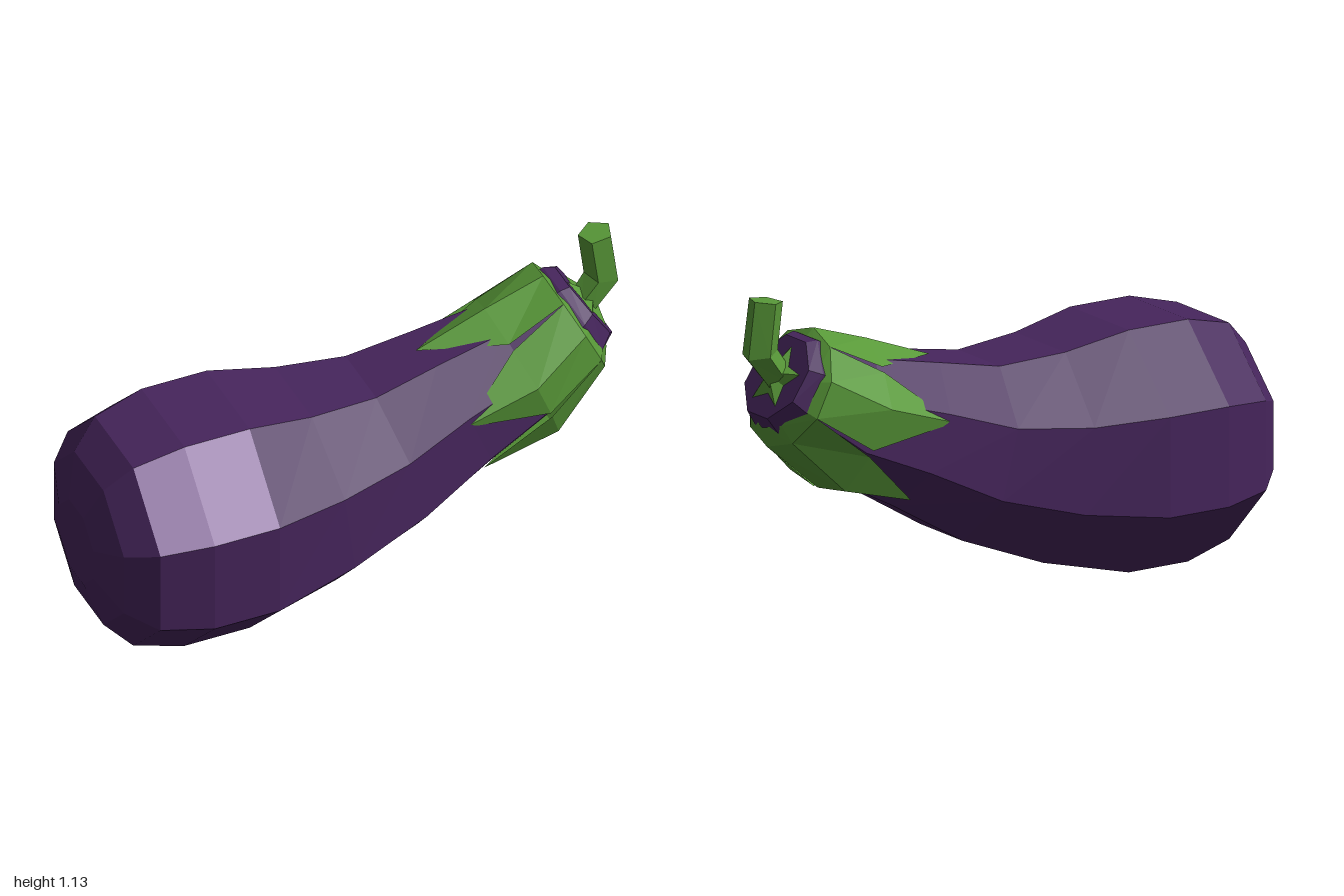
import * as THREE from 'three';

const rad = THREE.MathUtils.degToRad;

// Point on a tilted ring; angle 0 faces +z, 90 faces the upper side.
function ringPoint([x, y, r, tilt], angle, scale = 1) {
  const t = rad(tilt), a = rad(angle), u = r * scale * Math.sin(a);
  return new THREE.Vector3(x - Math.sin(t) * u, y + Math.cos(t) * u, r * scale * Math.cos(a));
}

const ringRow = (ring, sides, start) =>
  Array.from({ length: sides + 1 }, (_, i) => ringPoint(ring, start + (360 / sides) * (i % sides)));

// Skin rows of points, with faceted normals; pick(row, column) selects a material slot.
function skin(rows, caps = false, pick = () => 0) {
  const slots = [[], []];
  const tri = (slot, a, b, c) => {
    const area = b.clone().sub(a).cross(c.clone().sub(a)).length();
    if (area > 1e-7) slots[slot].push(...[a, b, c].flatMap(p => p.toArray()));
  };
  for (let i = 0; i < rows.length - 1; i++) {
    for (let j = 0; j < rows[i].length - 1; j++) {
      const a = rows[i][j], b = rows[i + 1][j], c = rows[i + 1][j + 1], d = rows[i][j + 1];
      tri(pick(i, j), a, b, c);
      tri(pick(i, j), a, c, d);
    }
  }
  if (caps) {
    const first = rows[0], last = rows[rows.length - 1];
    for (let j = 1; j < first.length - 2; j++) {
      tri(0, first[0], first[j], first[j + 1]);
      tri(0, last[0], last[j + 1], last[j]);
    }
  }
  const geo = new THREE.BufferGeometry();
  geo.setAttribute('position', new THREE.Float32BufferAttribute(slots.flat(), 3));
  geo.addGroup(0, slots[0].length / 3, 0);
  if (slots[1].length) geo.addGroup(slots[0].length / 3, slots[1].length / 3, 1);
  geo.computeVertexNormals();
  return geo;
}

export function createModel() {
  const model = new THREE.Group();
  const purple = new THREE.MeshStandardMaterial({ name: 'purple skin', color: 0x46255c, flatShading: true });
  const shine = new THREE.MeshStandardMaterial({ name: 'pale highlight', color: 0x977cab, flatShading: true });
  const green = new THREE.MeshStandardMaterial({
    name: 'leaf green', color: 0x589838, flatShading: true, side: THREE.DoubleSide });

  const add = (name, geo, materials, parent = model) => {
    const mesh = new THREE.Mesh(geo, materials);
    mesh.name = name;
    parent.add(mesh);
  };

  // Octagonal body: centre x, centre y, half height, tilt
  const corner = 1 / Math.cos(Math.PI / 8);
  const bodyRings = [
    [-1, 0.4225, 0.14, 0], [-0.953, 0.4225, 0.285, 0], [-0.86, 0.4225, 0.377, 0],
    [-0.68, 0.4225, 0.4225, 0], [-0.44, 0.4225, 0.4225, 0], [-0.155, 0.44, 0.363, 7],
    [0.125, 0.4925, 0.302, 14.5], [0.375, 0.595, 0.253, 22], [0.615, 0.68, 0.215, 23],
    [0.83, 0.822, 0.171, 27], [0.87, 0.85, 0.144, 33],
  ].map(([x, y, h, t]) => ringRow([x, y, h * corner, t], 8, 22.5));
  // One facet strip on the upper front is the highlight
  add('body', skin(bodyRings, true, (i, j) => (j === 0 && (i === 2 || i === 3) ? 1 : 0)), [purple, shine]);

  // Calyx: five folded leaves around the neck
  const calyx = new THREE.Group();
  calyx.name = 'calyx';
  model.add(calyx);
  const tip = [0.35, 0.585, 0.266, 22], wide = [0.615, 0.67, 0.28, 23];
  const shoulder = [0.815, 0.805, 0.215, 26], collar = [0.85, 0.815, 0.155, 30];
  for (let k = 0; k < 5; k++) {
    const mid = 90 + 72 * k;
    const row = (ring, spread, edge) =>
      [-1, 0, 1].map(s => ringPoint(ring, mid + s * spread, s ? edge : 1));
    add('leaf', skin([row(tip, 0, 1), row(wide, 33, 0.89), row(shoulder, 36, 1), row(collar, 36, 1)]),
      green, calyx);
  }

  // Star-shaped foot of the stem
  const foot = [0.872, 0.848, 0.115, 33];
  const star = Array.from({ length: 11 }, (_, i) => ringPoint(foot, 90 + 36 * i, i % 2 ? 0.52 : 1));
  const peak = new THREE.Vector3(0.905, 0.87, 0);
  add('stemFoot', skin([star, star.map(() => peak)]), green);

  // Bent five-sided stem
  const stemRings = [[0.865, 0.845, 0.052, 50], [0.938, 0.94, 0.063, 80], [0.914, 1.122, 0.06, 97]];
  add('stem', skin(stemRings.map(r => ringRow(r, 5, -108)), true), green);

  return model;
}
